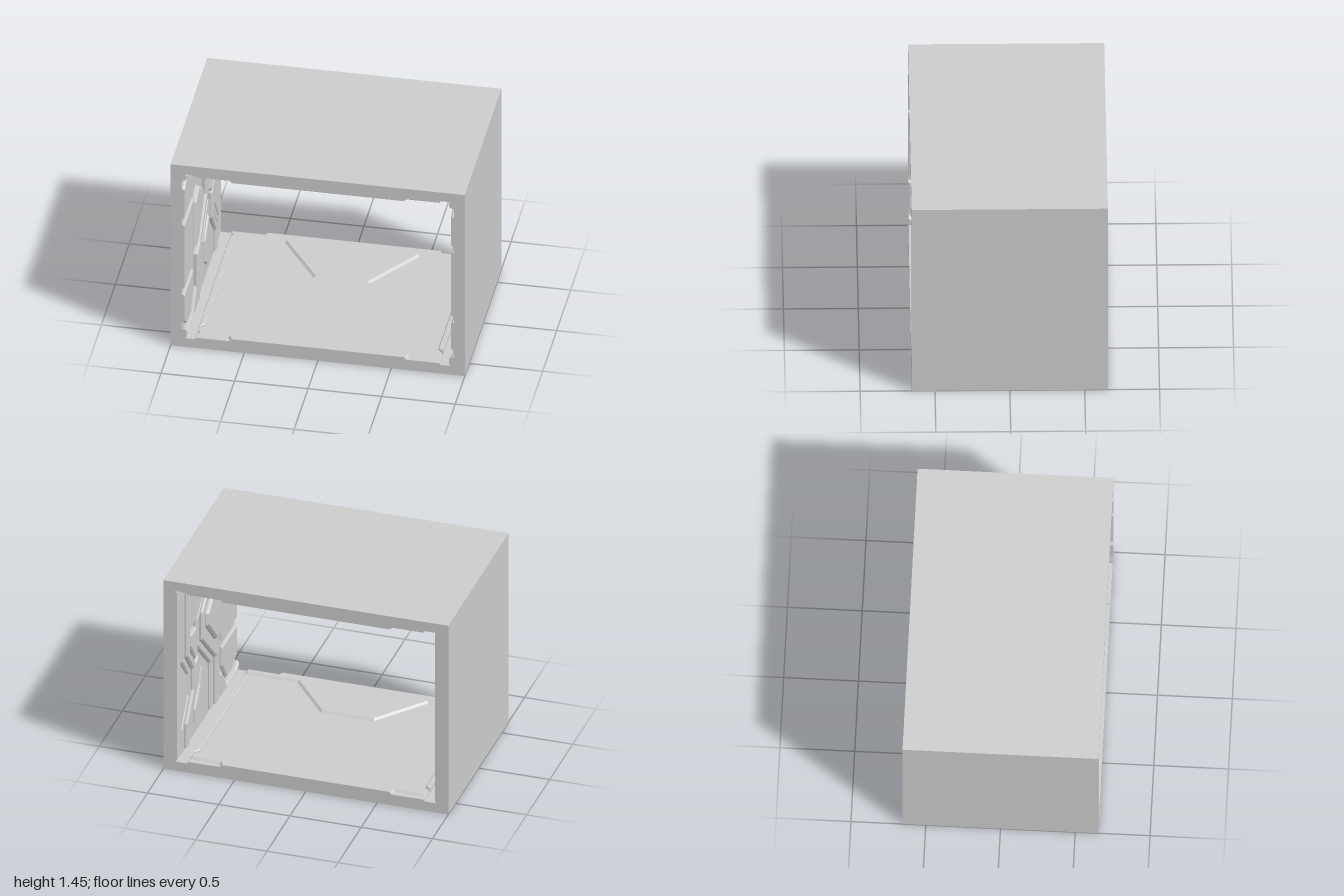
import * as THREE from 'three';

const HALF_Z = 0.655, HEIGHT = 1.45, FLOOR = 0.07, WALL = 0.925;

const mat = new THREE.MeshStandardMaterial({ color: 0xcccccc, flatShading: true });

function add(group, name, geometry) {
  const mesh = new THREE.Mesh(geometry, mat);
  mesh.name = name;
  group.add(mesh);
  return mesh;
}

// Plate with a chamfered top rim
function plateGeometry(points, height, bevel) {
  const shape = new THREE.Shape(points.map(([a, b]) => new THREE.Vector2(a, b)));
  const t = Math.min(bevel, height * 0.7);
  return new THREE.ExtrudeGeometry(shape, {
    depth: height - t, bevelEnabled: true, bevelThickness: t,
    bevelSize: bevel, bevelOffset: -bevel, bevelSegments: 1,
  });
}

// Cut everything off flush with the two open ends
function flushEnds(geometry) {
  const p = geometry.attributes.position;
  for (let i = 0; i < p.count; i++) {
    p.setZ(i, THREE.MathUtils.clamp(p.getZ(i), -HALF_Z, HALF_Z));
  }
  geometry.computeVertexNormals();
  return geometry;
}

// Wall plate given in (z, y), rising inward from the side wall
function wallPlate(group, name, side, points, height, bevel = 0.012) {
  const g = plateGeometry(points.map(([z, y]) => [side * z, y]), height, bevel);
  g.rotateY(-side * Math.PI / 2).translate(side * WALL, 0, 0);
  add(group, name, flushEnds(g));
}

// Floor (up = 1) or ceiling (up = -1) plate given in (x, z)
function deckPlate(group, name, up, points, height, bevel) {
  const g = plateGeometry(points.map(([x, z]) => [x, -up * z]), height, bevel);
  g.rotateX(-up * Math.PI / 2).translate(0, up > 0 ? FLOOR : HEIGHT - FLOOR, 0);
  add(group, name, flushEnds(g));
}

// Outline of a band of constant width along a path, with mitred bends
function band(path, width) {
  const left = [], right = [];
  path.forEach((p, i) => {
    const dir = (a, b) => new THREE.Vector2(b[0] - a[0], b[1] - a[1]).normalize();
    const d1 = i > 0 ? dir(path[i - 1], p) : dir(p, path[1]);
    const d2 = i < path.length - 1 ? dir(p, path[i + 1]) : d1;
    const t = d1.clone().add(d2).normalize();
    const w = width / 2 / t.dot(d1);
    left.push([p[0] - t.y * w, p[1] + t.x * w]);
    right.push([p[0] + t.y * w, p[1] - t.x * w]);
  });
  return left.concat(right.reverse());
}

const shiftZ = (path, d) => path.map(([z, y]) => [z + d, y]);

function sideWall(side) {
  const wall = new THREE.Group();
  wall.name = side > 0 ? 'leftWall' : 'rightWall';
  const end = HALF_Z + 0.012, top = HEIGHT - FLOOR;

  // Three front plates divided by level grooves
  wallPlate(wall, 'frontMiddlePlate', side,
    [[end, 0.465], [0.33, 0.465], [0.33, 0.975], [end, 0.975]], 0.02);
  wallPlate(wall, 'frontUpperPlate', side,
    [[end, 1.025], [0.33, 1.025], [0.33, 1.18], [0.43, 1.32], [0.56, 1.32], [end, 1.26]], 0.02);
  wallPlate(wall, 'frontLowerPlate', side,
    [[end, 0.415], [0.33, 0.415], [0.33, 0.27], [0.43, 0.13], [0.56, 0.13], [end, 0.2]], 0.02);

  // Trim along the top and bottom of the front plates
  wallPlate(wall, 'frontUpperTrim', side,
    [[end, 1.33], [0.6, 1.35], [0.4, 1.35], [0.3, 1.21], [0.27, 1.21], [0.27, top], [end, top]], 0.032);
  wallPlate(wall, 'frontLowerTrim', side,
    [[end, 0.14], [0.6, 0.1], [0.4, 0.1], [0.3, 0.24], [0.27, 0.24], [0.27, FLOOR], [end, FLOOR]], 0.032);

  // Winding double band across the middle
  const middle = [[0.2, top], [0.2, 1.16], [-0.1, 0.92], [-0.1, 0.74], [0.2, 0.45], [0.2, FLOOR]];
  wallPlate(wall, 'windingBand', side, band(middle, 0.075), 0.033);
  wallPlate(wall, 'windingBand', side, band(shiftZ(middle, -0.1), 0.06), 0.022);

  // Six-sided plate in the front bend
  wallPlate(wall, 'frontHexPlate', side,
    [[0.29, 0.92], [0.17, 0.98], [0, 0.85], [0, 0.76], [0.2, 0.55], [0.29, 0.55]], 0.03, 0.016);

  // Plates behind the winding band
  wallPlate(wall, 'rearUpperPlate', side,
    [[0.03, top], [0.03, 1.12], [-0.22, 0.93], [-0.38, 0.93], [-0.38, 1.26], [-0.3, top]], 0.02);
  wallPlate(wall, 'raisedUpperPlate', side,
    [[-0.02, 1.28], [-0.02, 1.17], [-0.2, 1], [-0.32, 1], [-0.32, 1.22], [-0.25, 1.28]], 0.034);
  wallPlate(wall, 'rearHexPlate', side,
    [[-0.25, 0.89], [-0.38, 0.89], [-0.38, 0.8], [-0.27, 0.65], [-0.22, 0.69]], 0.03);
  wallPlate(wall, 'rearLowerPlate', side,
    [[-0.19, 0.64], [0.03, 0.43], [0.03, FLOOR], [-0.39, FLOOR], [-0.39, 0.27], [-0.25, 0.43], [-0.25, 0.6]], 0.02);
  wallPlate(wall, 'raisedLowerPlate', side,
    [[-0.15, 0.54], [-0.01, 0.41], [-0.01, 0.24], [-0.1, 0.17], [-0.3, 0.17], [-0.3, 0.28], [-0.2, 0.42]], 0.034);

  // Rear bands and the plate at the back edge
  const rear = [[-0.43, top], [-0.43, 0.78], [-0.3, 0.62], [-0.3, 0.44], [-0.44, 0.25], [-0.44, FLOOR]];
  wallPlate(wall, 'rearBand', side, band(rear, 0.06), 0.033);
  wallPlate(wall, 'rearBand', side, band(shiftZ(rear, -0.085), 0.06), 0.022);
  wallPlate(wall, 'backEdgePlate', side,
    [[-end, FLOOR], [-0.57, FLOOR], [-0.57, 0.25], [-0.43, 0.44], [-0.43, 0.62],
      [-0.57, 0.78], [-0.57, top], [-end, top]], 0.02);
  return wall;
}

function deck(up) {
  const group = new THREE.Group();
  group.name = up > 0 ? 'floor' : 'ceiling';
  const end = HALF_Z + 0.02;

  // Sunken centre field
  deckPlate(group, 'centrePlate', up,
    [[-0.83, -HALF_Z], [0.83, -HALF_Z], [0.83, HALF_Z], [-0.83, HALF_Z]], 0.015, 0.003);

  // Raised plates at each open end, notched at the corners
  for (const s of [1, -1]) {
    const tip = s > 0 ? 0.24 : 0.19;
    const half = [[0.6, end], [0.62, 0.625], [0.83, 0.625], [0.83, 0.575], [0.46, 0.575], [0.19, tip]];
    const outline = [...half, ...half.map(([x, z]) => [-x, z]).reverse()];
    deckPlate(group, s > 0 ? 'frontRaisedPlate' : 'backRaisedPlate', up,
      outline.map(([x, z]) => [x, s * z]), 0.03, 0.02);
  }

  // Long rails beside the walls
  for (const s of [1, -1]) {
    deckPlate(group, 'sideRail', up,
      [[s * 0.79, -0.5], [s * 0.83, -0.54], [s * 0.83, 0.54], [s * 0.79, 0.5]], 0.03, 0.008);
  }
  return group;
}

export function createModel() {
  const model = new THREE.Group();
  model.name = 'panelledTunnel';

  // Plain outer shell, open at front and back
  const rect = (Type, x, y0, y1) => new Type([[-x, y0], [x, y0], [x, y1], [-x, y1]]
    .map(([a, b]) => new THREE.Vector2(a, b)));
  const shell = rect(THREE.Shape, 1, 0, HEIGHT);
  shell.holes.push(rect(THREE.Path, WALL, FLOOR, HEIGHT - FLOOR));
  add(model, 'outerShell', new THREE.ExtrudeGeometry(shell, { depth: 2 * HALF_Z, bevelEnabled: false })
    .translate(0, 0, -HALF_Z));

  for (const s of [1, -1]) model.add(sideWall(s), deck(s));
  return model;
}
